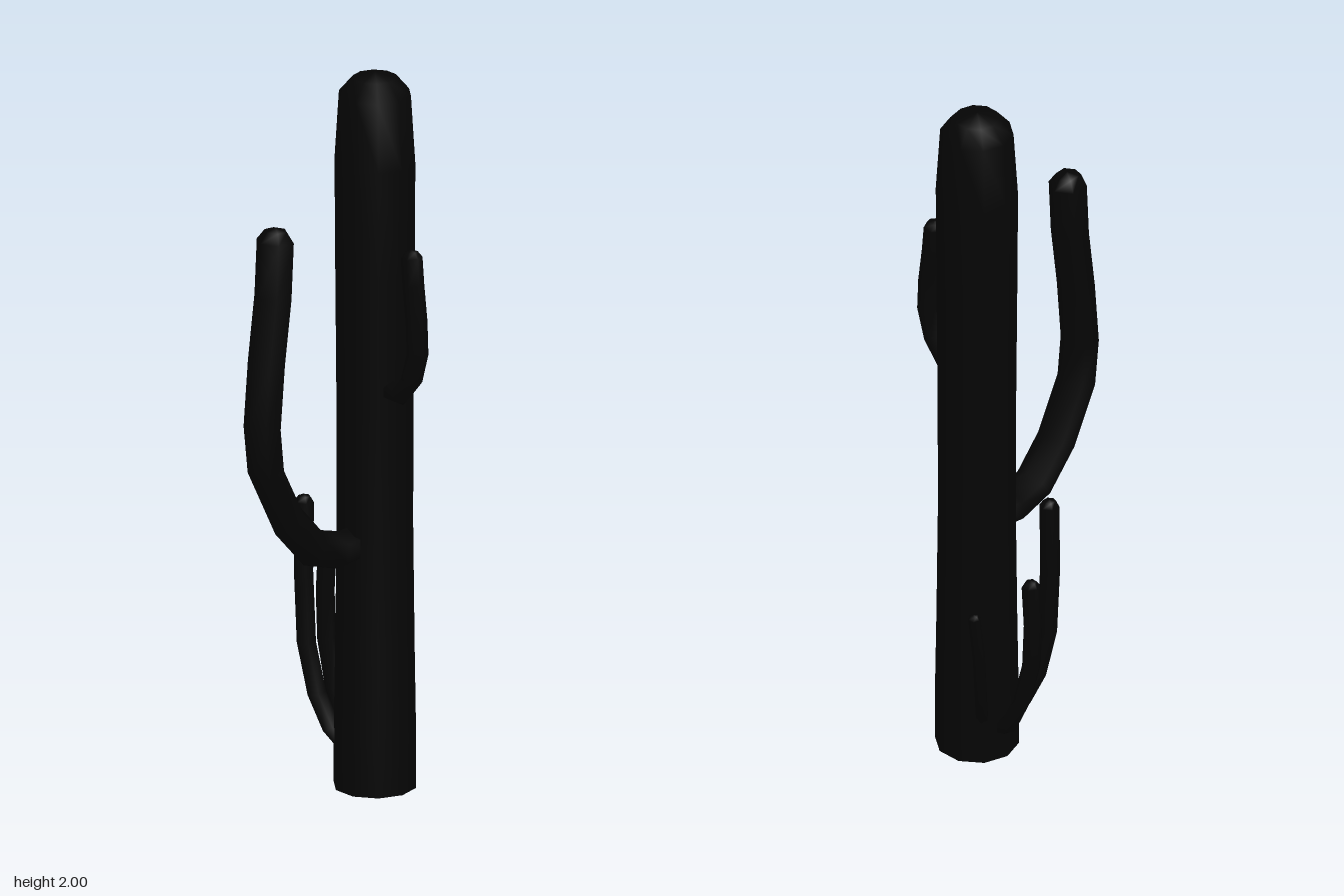
import * as THREE from 'three';

const V = (p) => new THREE.Vector3(...p);

// Six-sided smooth tube through the points, with a blunt pointed tip
function armGeometry(points, radius) {
  const path = points.map(V);
  const sides = 6, last = path.length - 1;
  // horizontal direction in which the arm leaves the trunk
  const out = path[last].clone().sub(path[0]).setY(0).normalize();
  const side = new THREE.Vector3(0, 1, 0).cross(out);
  const rings = path.map((p, i) => ({
    p,
    t: path[Math.min(i + 1, last)].clone().sub(path[Math.max(i - 1, 0)]).normalize(),
    r: radius,
  }));
  const end = rings[last];
  const tip = (d, r) => ({ p: end.p.clone().addScaledVector(end.t, d * radius), t: end.t, r: r * radius });
  rings.push(tip(0.55, 0.6), tip(0.7, 0.001));
  rings.unshift({ ...rings[0], r: 0.0001 });

  const pos = [], index = [];
  rings.forEach(({ p, t, r }, i) => {
    const normal = side.clone().cross(t).normalize();
    const cross = t.clone().cross(normal).normalize();
    for (let j = 0; j < sides; j++) {
      const a = (j / sides) * Math.PI * 2;
      const v = p.clone().addScaledVector(normal, Math.cos(a) * r).addScaledVector(cross, Math.sin(a) * r);
      pos.push(v.x, v.y, v.z);
      if (i === 0) continue;
      const k = (j + 1) % sides, a0 = (i - 1) * sides, b0 = i * sides;
      index.push(a0 + j, a0 + k, b0 + k, a0 + j, b0 + k, b0 + j);
    }
  });
  const geo = new THREE.BufferGeometry();
  geo.setAttribute('position', new THREE.Float32BufferAttribute(pos, 3));
  geo.setIndex(index);
  geo.computeVertexNormals();
  return geo;
}

export function createModel() {
  const group = new THREE.Group();
  const black = new THREE.MeshStandardMaterial({ color: 0x050505, side: THREE.DoubleSide });
  black.name = 'near black';
  const add = (name, geometry) => {
    const mesh = new THREE.Mesh(geometry, black);
    mesh.name = name;
    group.add(mesh);
    return mesh;
  };

  // Ten-sided trunk with a rounded top
  const profile = [
    [0.112, 0], [0.112, 0.15], [0.108, 0.4], [0.104, 0.75], [0.105, 1.1], [0.108, 1.45],
    [0.11, 1.75], [0.098, 1.94], [0.06, 1.985], [0, 2],
  ].map(([r, y]) => new THREE.Vector2(r, y));
  const trunk = add('trunk', new THREE.LatheGeometry(profile, 10));
  trunk.rotation.y = Math.PI / 10;
  trunk.position.set(0.002, 0, -0.14);

  // Flat underside
  const base = add('trunkBase', new THREE.CircleGeometry(0.112, 10));
  base.rotation.x = Math.PI / 2;
  base.position.set(0.002, 0.001, -0.14);

  // Large arm reaching forward
  add('frontArm', armGeometry([
    [0.003, 0.7, -0.1], [0.003, 0.688, -0.01], [0.003, 0.715, 0.08], [0.003, 0.81, 0.165],
    [0.003, 0.965, 0.242], [0.003, 1.09, 0.255], [0.003, 1.27, 0.24], [0.003, 1.45, 0.217],
    [0.003, 1.605, 0.209],
  ], 0.052));

  // Medium arm on the left
  add('leftArm', armGeometry([
    [0.07, 1.135, -0.12], [0.135, 1.135, -0.115], [0.185, 1.19, -0.111], [0.212, 1.27, -0.108],
    [0.208, 1.36, -0.108], [0.195, 1.46, -0.108], [0.188, 1.535, -0.108],
  ], 0.029));

  // Three young shoots low on the right
  add('frontShoot', armGeometry([
    [-0.06, 0.1, -0.1], [-0.1, 0.15, -0.075], [-0.135, 0.24, -0.055], [-0.16, 0.38, -0.04],
    [-0.168, 0.58, -0.037], [-0.165, 0.775, -0.037],
  ], 0.027));
  add('middleShoot', armGeometry([
    [-0.06, 0.07, -0.145], [-0.13, 0.12, -0.15], [-0.18, 0.22, -0.156], [-0.215, 0.35, -0.158],
    [-0.223, 0.48, -0.16], [-0.215, 0.6, -0.16],
  ], 0.025));
  add('backShoot', armGeometry([
    [-0.06, 0.1, -0.18], [-0.09, 0.17, -0.218], [-0.114, 0.26, -0.247],
    [-0.128, 0.38, -0.268], [-0.13, 0.52, -0.288],
  ], 0.017));

  return group;
}
